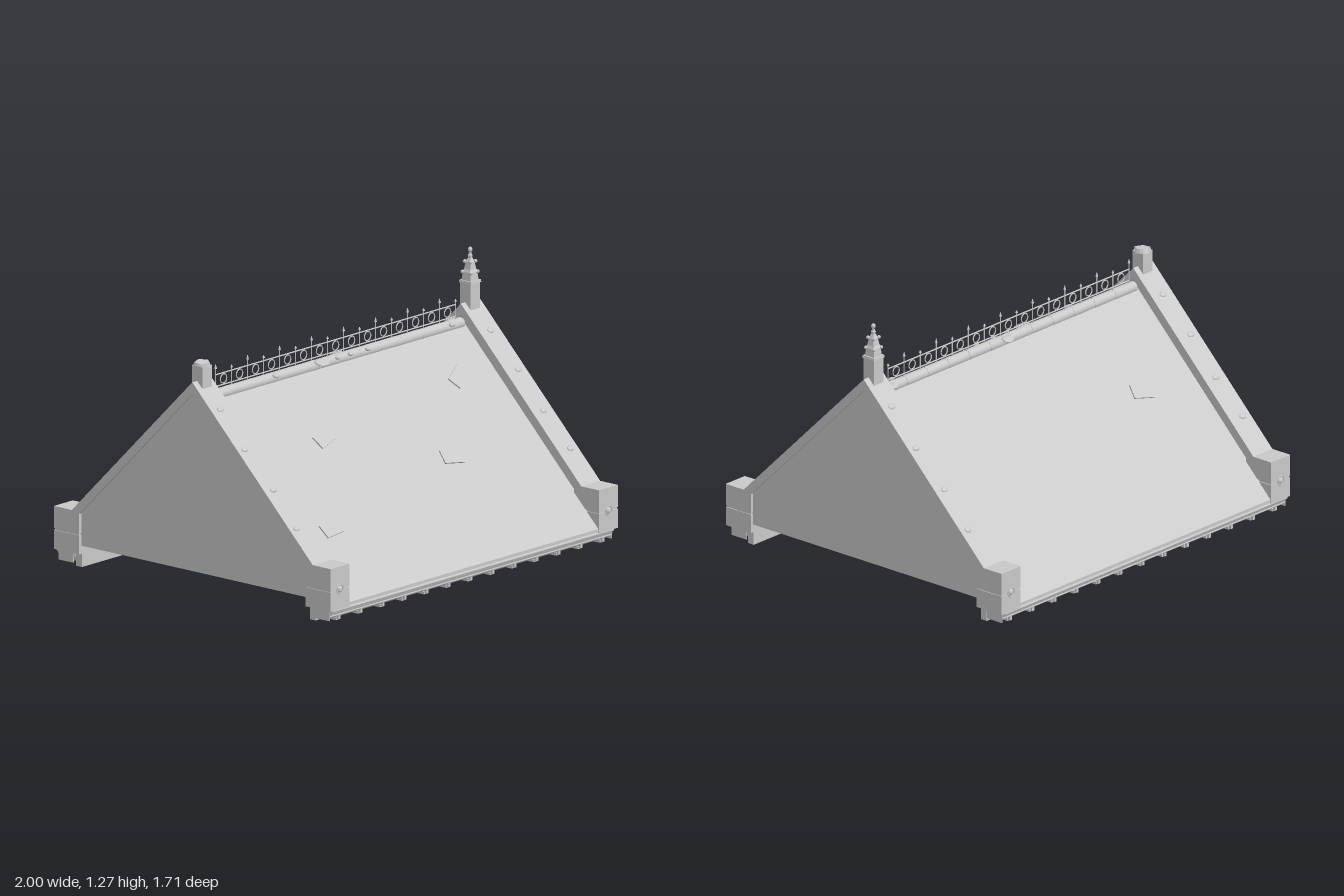
import * as THREE from 'three';

export function createModel() {
  const model = new THREE.Group();
  model.name = 'gabledRoof';
  const stone = new THREE.MeshStandardMaterial({ color: 0xc8c8c8 });
  stone.name = 'pale grey';

  const add = (name, geo, x = 0, y = 0, z = 0, parent = model) => {
    const m = new THREE.Mesh(geo, stone);
    m.name = name;
    m.position.set(x, y, z);
    parent.add(m);
    return m;
  };
  const box = (name, w, h, d, x, y, z, parent) => add(name, new THREE.BoxGeometry(w, h, d), x, y, z, parent);
  const rod = (name, r, len, x, y, z, axis = 'y', parent = model) => {
    const m = add(name, new THREE.CylinderGeometry(r, r, len, 8), x, y, z, parent);
    if (axis === 'x') m.rotation.z = Math.PI / 2;
    return m;
  };
  // Extrude a (z, y) outline along x, from x0 to x1
  const prism = (name, pts, x0, x1, parent) => {
    const shape = new THREE.Shape(pts.map(p => new THREE.Vector2(p[0], p[1])));
    const geo = new THREE.ExtrudeGeometry(shape, { depth: x1 - x0, bevelEnabled: false });
    geo.rotateY(-Math.PI / 2).translate(x1, 0, 0);
    return add(name, geo, 0, 0, 0, parent);
  };

  // Sloping roof covering, open underneath
  prism('roofSlopes', [[0.845, 0.085], [0, 0.93], [-0.845, 0.085], [-0.845, 0.07], [-0.81, 0.07],
    [0, 0.88], [0.81, 0.07], [0.845, 0.07]], -0.88, 0.88);

  // Gable walls with raised copings
  for (const s of [-1, 1]) {
    const span = (a, b) => s > 0 ? [a, b] : [-b, -a];
    prism('gableWall', [[0.7, 0.105], [0.7, 0.26], [0, 0.96], [-0.7, 0.26], [-0.7, 0.105]], ...span(0.9, 0.985));
    prism('gableCoping', [[0.76, 0.25], [0, 1.01], [-0.76, 0.25], [-0.705, 0.25], [0, 0.955], [0.705, 0.25]],
      ...span(0.868, 1));
  }

  // Kneeler blocks at the four corners
  for (const sx of [-1, 1]) for (const sz of [-1, 1]) {
    const kneeler = new THREE.Group();
    kneeler.name = 'kneeler';
    model.add(kneeler);
    box('kneelerUpper', 0.132, 0.105, 0.155, sx * 0.934, 0.2175, sz * 0.7725, kneeler);
    box('kneelerGroove', 0.124, 0.01, 0.147, sx * 0.934, 0.161, sz * 0.7725, kneeler);
    box('kneelerLower', 0.132, 0.091, 0.155, sx * 0.934, 0.1115, sz * 0.7725, kneeler);
    const boss = add('kneelerRosette', new THREE.SphereGeometry(0.016, 12, 8), sx * 0.934, 0.161, sz * 0.849, kneeler);
    boss.scale.z = 0.5;
    add('rosetteRing', new THREE.TorusGeometry(0.022, 0.003, 6, 16), sx * 0.934, 0.161, sz * 0.85, kneeler);
  }

  // Eaves board, half-round gutter and brackets along front and back
  for (const s of [-1, 1]) {
    box('eavesBoard', 1.95, 0.105, 0.035, 0, 0.0525, s * 0.7175);
    const pts = [];
    for (let i = 0; i <= 12; i++) {
      const a = Math.PI + Math.PI * i / 12;
      pts.push([s * 0.787 + 0.053 * Math.cos(a), 0.064 + 0.05 * Math.sin(a)]);
    }
    for (let i = 12; i >= 0; i--) {
      const a = Math.PI + Math.PI * i / 12;
      pts.push([s * 0.787 + 0.046 * Math.cos(a), 0.064 + 0.043 * Math.sin(a)]);
    }
    prism('gutter', pts, -0.985, 0.975);
    rod('gutterRim', 0.007, 1.96, -0.005, 0.061, s * 0.841, 'x');
    rod('gutterBead', 0.005, 1.96, -0.005, 0.036, s * 0.831, 'x');
    for (let i = 0; i < 13; i++) {
      const x = -0.92 + i * 0.153;
      box('gutterBracket', 0.018, 0.012, 0.095, x, 0.013, s * 0.772);
      box('bracketStrap', 0.014, 0.03, 0.012, x, 0.028, s * 0.828);
    }
    for (const x of [-0.986, 0.976]) {
      const end = add('gutterEnd', new THREE.CylinderGeometry(0.05, 0.05, 0.006, 16, 1, false, 0, Math.PI),
        x, 0.064, s * 0.787);
      end.rotation.z = Math.PI / 2;
      end.rotation.order = 'XYZ';
      end.geometry.dispose();
      end.geometry = new THREE.BoxGeometry(0.05, 0.006, 0.09);
      end.position.y = 0.041;
    }
  }

  // Ridge tiles with joint collars
  for (let i = 0; i < 12; i++) {
    const len = 1.735 / 12, x = -0.868 + len * (i + 0.5);
    const tile = add('ridgeTile', new THREE.CylinderGeometry(0.027, 0.028, len, 20), x, 0.918, 0);
    tile.rotation.z = Math.PI / 2;
    if (i) rod('ridgeJoint', 0.0295, 0.006, x - len / 2, 0.918, 0, 'x');
  }

  // Ironwork ridge cresting
  const crest = new THREE.Group();
  crest.name = 'ridgeCresting';
  model.add(crest);
  rod('lowerRail', 0.0035, 1.67, -0.003, 0.957, 0, 'x', crest);
  rod('upperRail', 0.0035, 1.67, -0.003, 1.013, 0, 'x', crest);
  for (let i = 0; i < 16; i++) {
    const x = -0.838 + i * 0.1113, top = i % 2 ? 1.03 : 1.05;
    rod('crestPost', 0.003, top - 0.93, x, (top + 0.93) / 2, 0, 'y', crest);
    add('crestSpear', new THREE.ConeGeometry(0.007, i % 2 ? 0.014 : 0.024, 6), x, top + 0.005, 0, crest);
    if (i < 15) add('crestRing', new THREE.TorusGeometry(0.022, 0.003, 6, 16), x + 0.0557, 0.985, 0, crest);
  }

  // Tiered finial on the left gable
  const finial = new THREE.Group();
  finial.name = 'finial';
  finial.position.set(0.933, 0, 0);
  model.add(finial);
  const taper = (w0, w1, y0, y1) => {
    const k = Math.SQRT1_2;
    const m = add('finialTier', new THREE.CylinderGeometry(w1 * k, w0 * k, y1 - y0, 4).toNonIndexed(), 0, (y0 + y1) / 2, 0, finial);
    m.geometry.computeVertexNormals();
    m.rotation.y = Math.PI / 4;
  };
  taper(0.066, 0.066, 0.97, 1.105);
  taper(0.074, 0.07, 1.1, 1.112);
  taper(0.056, 0.046, 1.11, 1.155);
  taper(0.054, 0.038, 1.15, 1.165);
  taper(0.04, 0.028, 1.163, 1.2);
  taper(0.034, 0.016, 1.196, 1.215);
  taper(0.016, 0.008, 1.213, 1.245);
  add('finialBall', new THREE.SphereGeometry(0.011, 12, 8), 0, 1.255, 0, finial).scale.y = 1.2;
  add('finialCollar', new THREE.SphereGeometry(0.012, 10, 6), 0, 1.228, 0, finial).scale.y = 0.5;
  for (const [y, r] of [[1.15, 0.025], [1.2, 0.018]])
    for (const sx of [-1, 1]) for (const sz of [-1, 1])
      add('finialCrocket', new THREE.SphereGeometry(0.009, 8, 6), sx * r, y, sz * r, finial);

  // Broken finial stump on the right gable
  box('stump', 0.066, 0.115, 0.066, -0.933, 1.0225, 0);
  const cap = add('stumpCap', new THREE.CylinderGeometry(0.038, 0.045, 0.022, 5), -0.93, 1.084, 0);
  cap.material = stone;
  cap.rotation.set(0.05, 0.3, 0.08);

  // Slipped slates lying on the slopes: x, distance from ridge, side, turn
  for (const [x, z, s, turn] of [[-0.385, 0.265, 1, 0.22], [0.635, 0.19, 1, 0.42], [0.29, 0.455, 1, -0.15],
    [-0.69, 0.58, 1, 0.08], [-0.54, 0.345, -1, -0.22]]) {
    const holder = new THREE.Group();
    holder.name = 'looseSlate';
    holder.position.set(x, 0.931 - z, s * z);
    holder.rotation.x = s * Math.PI / 4;
    model.add(holder);
    box('slatePlate', 0.12, 0.008, 0.07, 0, 0.002, 0, holder).rotation.y = turn * 1.2;
  }

  // Flattened moss clumps on copings and ridge
  const moss = (x, y, z, w, h, d, tilt) => {
    const m = add('mossClump', new THREE.IcosahedronGeometry(1, 1), x, y, z);
    m.scale.set(w, h, d);
    m.rotation.x = tilt;
  };
  for (const sx of [-1, 1]) for (const sz of [-1, 1])
    [0.12, 0.28, 0.445, 0.6].forEach((z, i) =>
      moss(sx * (0.94 + 0.012 * (i % 2)), 1.01 - z, sz * z, 0.021, 0.007, 0.015, sz * Math.PI / 4));
  for (const [x, z, r] of [[0.04, -0.035, 0.036], [-0.13, 0.03, 0.045], [0.83, -0.03, 0.03], [0.77, 0.033, 0.018],
    [0.07, 0.028, 0.016], [-0.02, 0.028, 0.014], [0.19, 0.028, 0.016], [-0.45, 0.03, 0.02]])
    moss(x, 0.936, z, r, 0.009, r * 0.75, Math.sign(z) * 0.3);

  return model;
}
